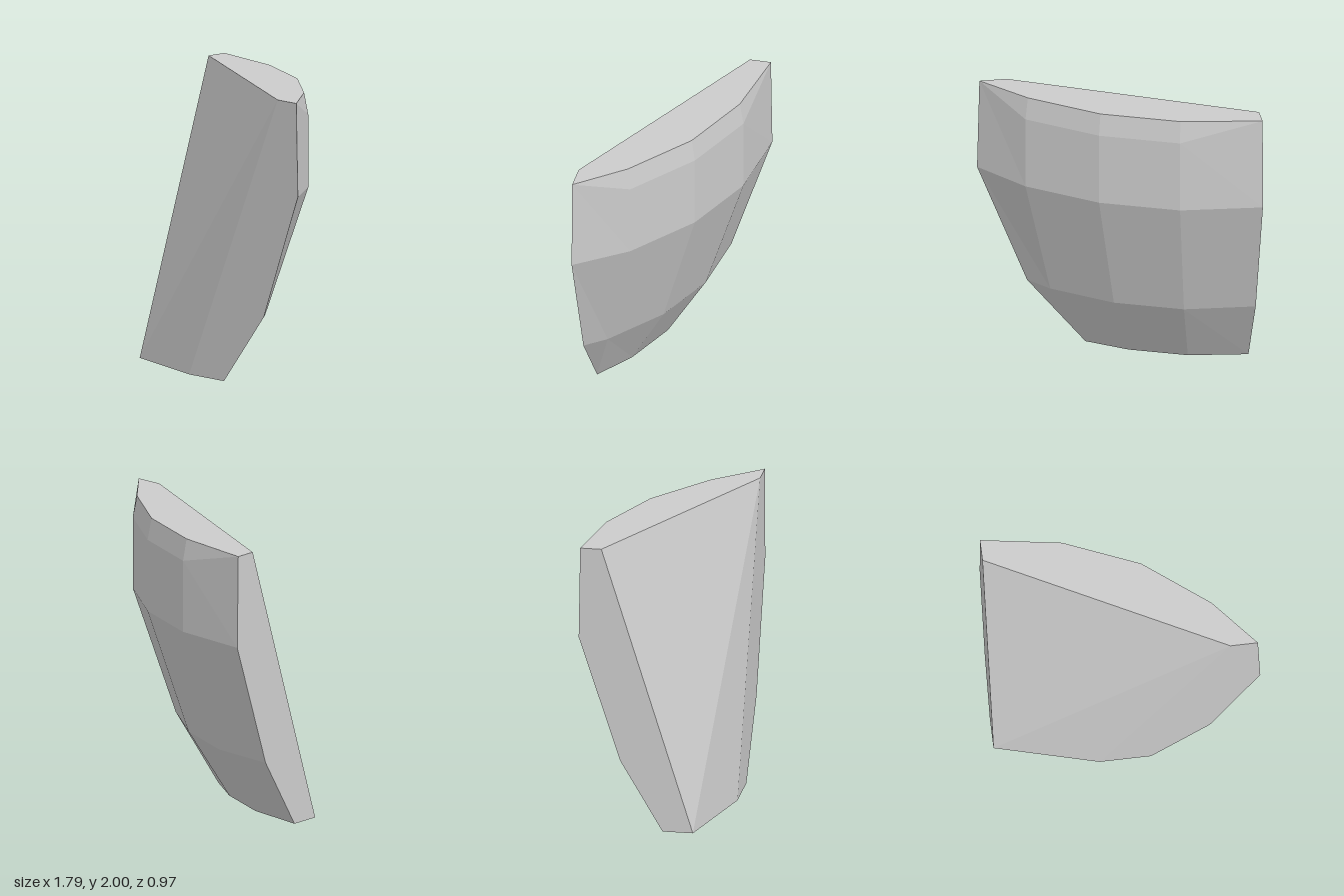
import * as THREE from 'three';

const LEFT = -0.9;    // flat side cut
const FRONT = 0.482;  // flat front cut
const AXIS_Z = 1.66;  // the curved shell turns around the line x = LEFT, z = AXIS_Z

// One horizontal ring of the shell: side-cut point, columns every 15 degrees, front-cut point
function ring(y, radius, sideZ, frontX, columns = 3, innerY = y) {
  const points = [[LEFT, y, sideZ]];
  for (let i = 1; i <= columns; i++) {
    const a = THREE.MathUtils.degToRad(15 * i);
    points.push([LEFT + radius * Math.sin(a), innerY, AXIS_Z - radius * Math.cos(a)]);
  }
  while (points.length < 5) points.push([frontX, y, FRONT]);
  return points;
}

// Flat-faced mesh from convex polygons, each listed counter-clockwise from outside
function faces(name, polygons, material) {
  const positions = [];
  const same = (p, q) => p.every((v, i) => v === q[i]);
  for (const poly of polygons) {
    for (let i = 1; i < poly.length - 1; i++) {
      const tri = [poly[0], poly[i], poly[i + 1]];
      if (same(tri[0], tri[1]) || same(tri[1], tri[2]) || same(tri[0], tri[2])) continue;
      positions.push(...tri.flat());
    }
  }
  const geometry = new THREE.BufferGeometry();
  geometry.setAttribute('position', new THREE.Float32BufferAttribute(positions, 3));
  geometry.computeVertexNormals();
  const mesh = new THREE.Mesh(geometry, material);
  mesh.name = name;
  return mesh;
}

export function createModel() {
  const group = new THREE.Group();
  group.name = 'shellFragment';
  const stone = new THREE.MeshStandardMaterial({ color: 0xcccccc });
  stone.name = 'lightGrey';

  // Rings from bottom to top
  const bottom = ring(0, 1.57, 0.09, 0.15, 2);
  const lower = ring(0.49, 1.86, -0.2, 0.55, 3, 0.477);
  const belly = ring(1.36, 2.15, -0.485, 0.893, 3, 1.35);
  const top = ring(2, 2.122, -0.475, 0.877);
  // Bevel under the rim, running out into the rim at both ends
  const bevel = ring(1.85, 2.15, 0, 0);
  bevel[0] = top[0];
  bevel[4] = top[4];

  // Curved outer shell
  const rows = [bottom, lower, belly, bevel, top];
  const shell = [];
  for (let r = 0; r < rows.length - 1; r++) {
    for (let i = 0; i < 4; i++) {
      shell.push([rows[r][i], rows[r + 1][i], rows[r + 1][i + 1], rows[r][i + 1]]);
    }
  }
  group.add(faces('outerShell', shell, stone));

  // Corners of the sloping inner face
  const topSide = [LEFT, 2, -0.33], topFront = [0.69, 2, FRONT];
  const baseSide = [LEFT, 0, 0.298], baseFront = [-0.2, 0, FRONT];
  group.add(faces('innerFace', [
    [baseSide, topFront, topSide],
    [baseSide, baseFront, topFront],
  ], stone));

  // Flat ends
  group.add(faces('topFace', [[topSide, topFront, ...[...top].reverse()]], stone));
  group.add(faces('bottomFace', [[baseFront, baseSide, ...bottom.slice(0, 4)]], stone));

  // Flat vertical cuts
  group.add(faces('frontCut', [
    [baseFront, bottom[4], lower[4], belly[4], top[4], topFront],
  ], stone));
  group.add(faces('sideCut', [
    [baseSide, topSide, top[0], belly[0], lower[0], bottom[0]],
  ], stone));

  return group;
}
